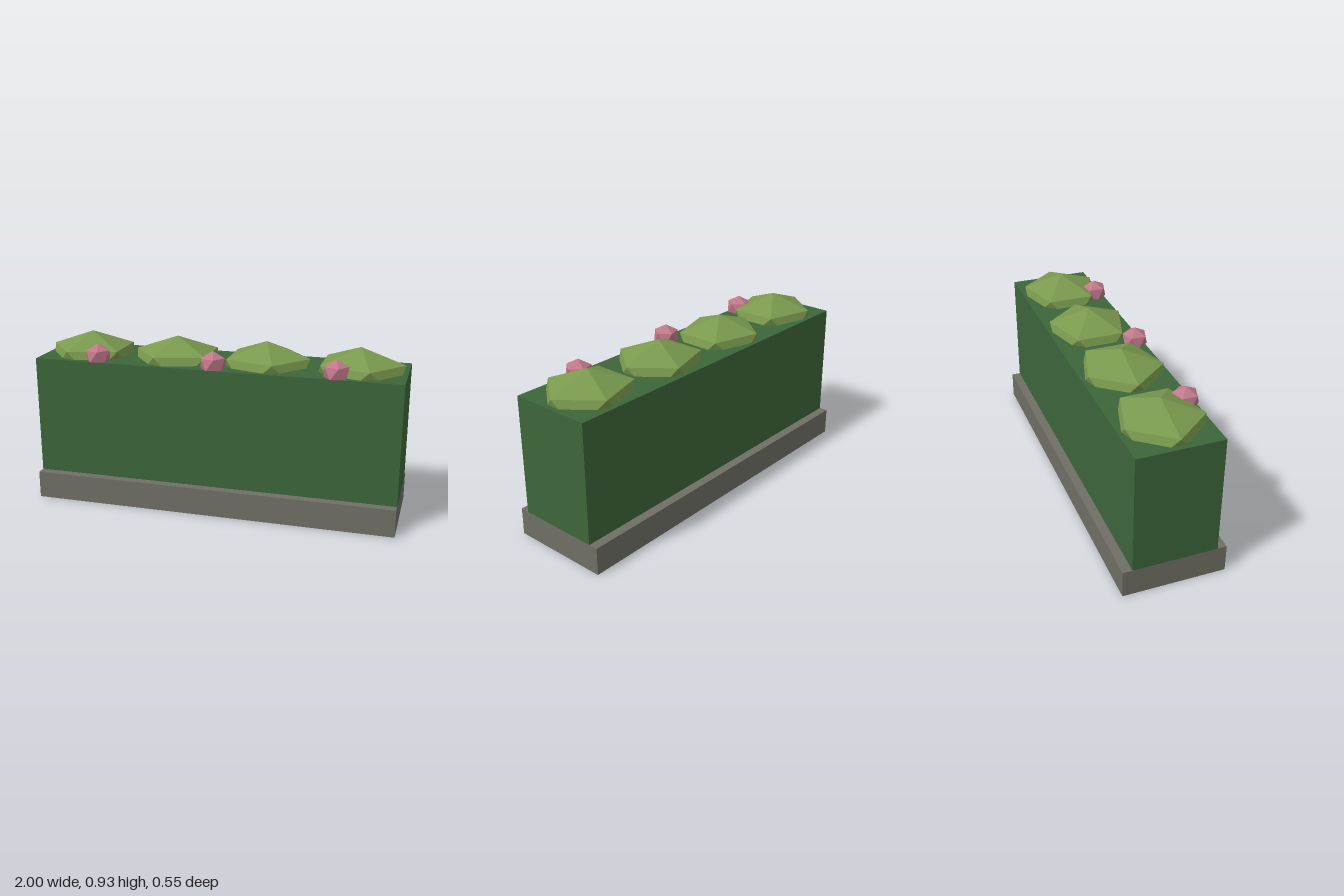
import * as THREE from 'three';

const stone = new THREE.MeshStandardMaterial({ name: 'stone', color: 0x6f6f65 });
const hedgeGreen = new THREE.MeshStandardMaterial({ name: 'hedgeGreen', color: 0x3d653a });
const leafGreen = new THREE.MeshStandardMaterial({ name: 'leafGreen', color: 0x7a9a4e });
const blossomPink = new THREE.MeshStandardMaterial({ name: 'blossomPink', color: 0xc0788a });
for (const m of [stone, hedgeGreen, leafGreen, blossomPink]) m.flatShading = true;

// Faceted ball standing on a vertex, with an upper-ring corner toward +x
function facetedBall(rx, ry, rz) {
  const g = new THREE.IcosahedronGeometry(1, 0);
  g.rotateX(-Math.atan((1 + Math.sqrt(5)) / 2));
  g.rotateY(Math.PI / 2);
  return g.scale(rx, ry, rz);
}

export function createModel() {
  const group = new THREE.Group();
  group.name = 'hedgePlanter';

  const add = (name, geometry, material, x, y, z, turn = 0) => {
    const mesh = new THREE.Mesh(geometry, material);
    mesh.name = name;
    mesh.position.set(x, y, z);
    mesh.rotation.y = turn;
    group.add(mesh);
  };

  // Stone plinth and clipped hedge block
  add('stoneBase', new THREE.BoxGeometry(2, 0.15, 0.55), stone, 0, 0.075, 0);
  add('hedgeBody', new THREE.BoxGeometry(2, 0.65, 0.45), hedgeGreen, 0, 0.475, 0);

  // Flattened leaf clumps, pointing outward from the middle
  const clump = facetedBall(0.264, 0.15, 0.24);
  [-0.75, -0.25, 0.25, 0.75].forEach((x, i) =>
    add(`leafClump${i + 1}`, clump, leafGreen, x, 0.775, 0, x < 0 ? Math.PI : 0));

  // Blossoms along the front edge
  const blossom = facetedBall(0.074, 0.065, 0.074);
  [-0.65, 0, 0.65].forEach((x, i) =>
    add(`blossom${i + 1}`, blossom, blossomPink, x, 0.83, 0.175));

  return group;
}
